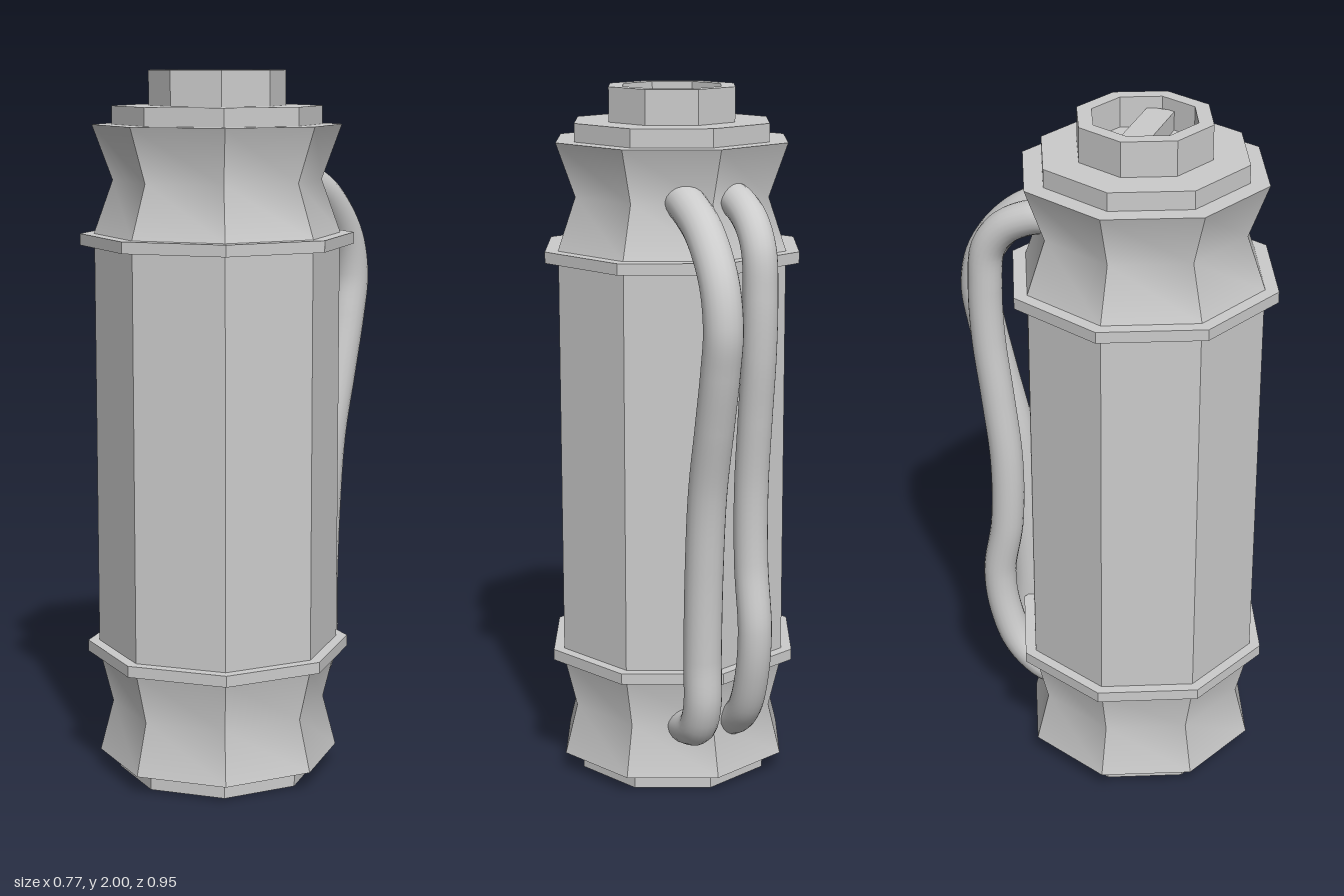
import * as THREE from 'three';
import { toCreasedNormals } from 'three/addons/utils/BufferGeometryUtils.js';

const AXIS_Z = 0.092; // the body sits forward of centre, the cables fill the back

export function createModel() {
  const group = new THREE.Group();
  const material = new THREE.MeshStandardMaterial({ color: 0xcccccc });

  const add = (name, geometry, z = 0) => {
    const mesh = new THREE.Mesh(geometry, material);
    mesh.name = name;
    mesh.position.z = z;
    group.add(mesh);
  };

  // Eight-sided turned part; profile of [radius, y] runs from bottom to top
  const octagon = (name, profile) => {
    const points = profile.map(([r, y]) => new THREE.Vector2(r, y));
    add(name, toCreasedNormals(new THREE.LatheGeometry(points, 8), 0.72), AXIS_Z);
  };
  const disc = (name, r, y0, y1) => octagon(name, [[0, y0], [r, y0], [r, y1], [0, y1]]);

  // Body, from the ground up
  disc('basePlate', 0.287, 0, 0.054);
  octagon('lowerCollar', [[0, 0.053], [0.343, 0.053], [0.305, 0.2], [0.343, 0.352], [0, 0.352]]);
  disc('lowerRing', 0.375, 0.35, 0.382);
  disc('barrel', 0.343, 0.38, 1.522);
  disc('upperRing', 0.383, 1.52, 1.552);
  octagon('upperCollar', [[0, 1.55], [0.345, 1.55], [0.291, 1.7], [0.347, 1.852], [0, 1.852]]);
  disc('topPlate', 0.292, 1.85, 1.903);

  // Hollow knob with a grip bar across the recess
  octagon('knob', [[0.19, 1.9], [0.19, 2], [0.148, 2], [0.148, 1.915], [0, 1.915]]);
  const bar = new THREE.BoxGeometry(0.28, 0.065, 0.078);
  bar.translate(0, 1.935, 0);
  add('gripBar', bar, AXIS_Z);

  // Cables down the back; path of [z, y]
  const cable = (name, x, radius, path) => {
    const curve = new THREE.CatmullRomCurve3(path.map(([z, y]) => new THREE.Vector3(x, y, z)));
    add(name, new THREE.TubeGeometry(curve, 80, radius, 20));
    // Rounded ends
    for (const t of [0, 1]) {
      const end = new THREE.SphereGeometry(radius, 20, 12);
      end.translate(...curve.getPoint(t).toArray());
      add(name + 'End', end);
    }
  };
  cable('leftCable', 0.067, 0.054, [
    [-0.14, 1.71], [-0.2, 1.69], [-0.3, 1.635], [-0.395, 1.52], [-0.424, 1.4], [-0.407, 1.285],
    [-0.37, 1.127], [-0.323, 0.93], [-0.3, 0.7], [-0.29, 0.44], [-0.29, 0.3], [-0.255, 0.228],
    [-0.18, 0.2], [-0.13, 0.195],
  ]);
  cable('rightCable', -0.076, 0.048, [
    [-0.14, 1.71], [-0.2, 1.7], [-0.28, 1.66], [-0.332, 1.59], [-0.345, 1.47], [-0.34, 1.31],
    [-0.318, 1.127], [-0.296, 0.915], [-0.3, 0.7], [-0.328, 0.52], [-0.312, 0.386],
    [-0.265, 0.27], [-0.19, 0.205], [-0.14, 0.195],
  ]);

  return group;
}
